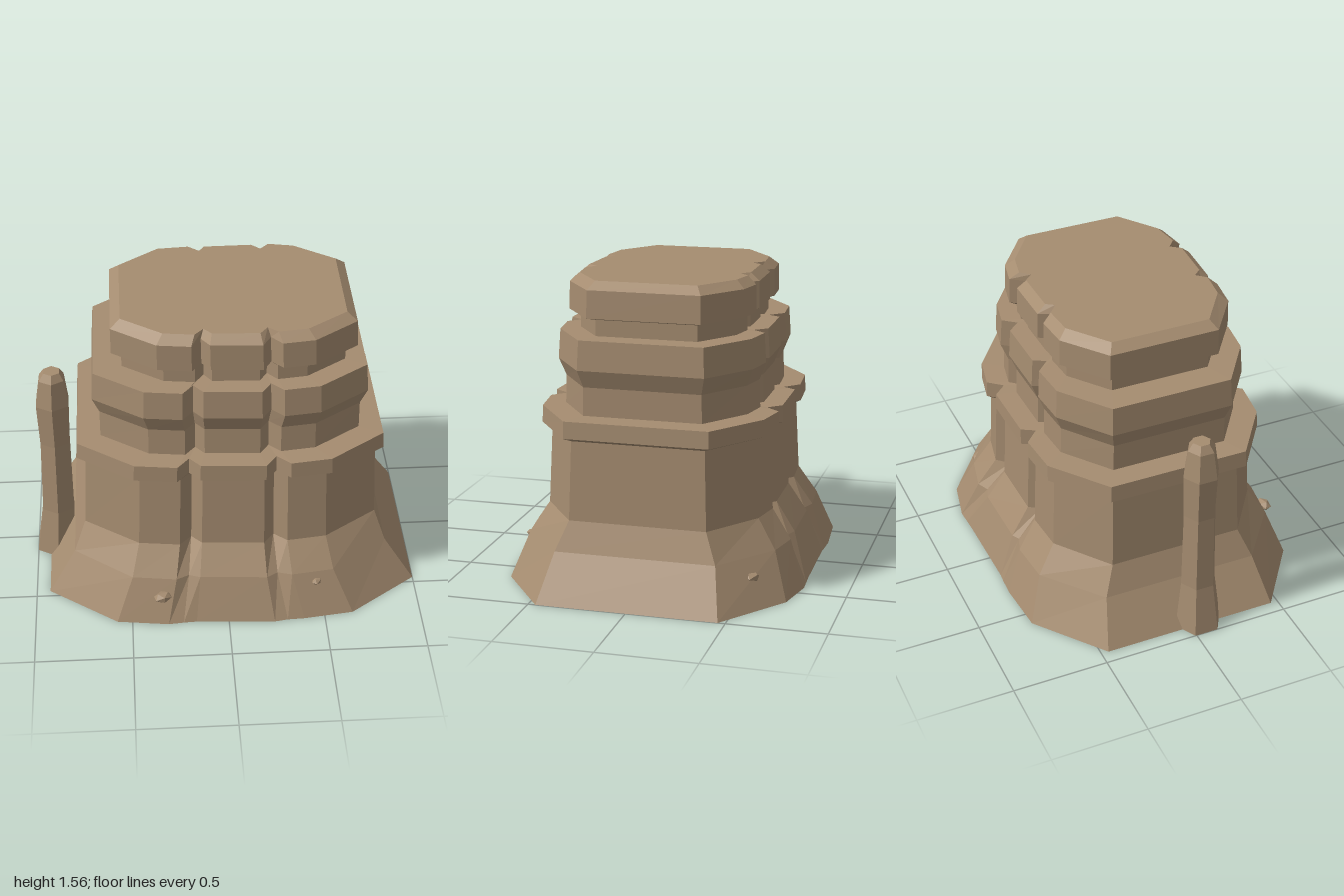
import * as THREE from 'three';

const sandstone = new THREE.MeshStandardMaterial({ color: 0xa58c70, side: THREE.DoubleSide });
sandstone.name = 'sandstone';

// Joins rings of [x, y, z] corners into a faceted skin, optionally closed on top.
function loft(name, rings, capped) {
  const pos = [];
  const tri = (...corners) => corners.forEach((p) => pos.push(...p));
  const n = rings[0].length;
  for (let k = 0; k + 1 < rings.length; k++) {
    for (let i = 0; i < n; i++) {
      const j = (i + 1) % n;
      const a = rings[k][i], b = rings[k][j], c = rings[k + 1][i], d = rings[k + 1][j];
      tri(b, a, c);
      tri(b, c, d);
    }
  }
  if (capped) {
    const top = rings[rings.length - 1];
    const mid = [0, 1, 2].map((q) => top.reduce((s, p) => s + p[q], 0) / n);
    top.forEach((p, i) => tri(mid, top[(i + 1) % n], p));
  }
  const geo = new THREE.BufferGeometry();
  geo.setAttribute('position', new THREE.Float32BufferAttribute(pos, 3));
  geo.computeVertexNormals();
  const mesh = new THREE.Mesh(geo, sandstone);
  mesh.name = name;
  return mesh;
}

// Plan of the mesa in unit size; a third value of 1 marks the bottom of a cleft.
const plan = [
  [1, 0.6], [0.635, 0.935], [0.37, 0.98], [0.28, 0.985, 1], [0.21, 1],
  [-0.21, 0.97], [-0.28, 0.975, 1], [-0.36, 0.985], [-0.635, 0.94], [-1, 0.6],
  [-1, -0.6], [-0.635, -0.96], [-0.35, -0.99], [-0.25, -0.985, 1], [-0.2, -0.98],
  [0.24, -0.99], [0.32, -0.995, 1], [0.4, -1], [0.63, -0.94], [1, -0.6],
];

// One level of the mesa: height, left and right limits, half depth, cleft depth.
function ring([y, x0, x1, hz, cleft]) {
  const cx = (x0 + x1) / 2, hx = (x1 - x0) / 2;
  return plan.map(([u, w, notch]) => [
    cx + u * hx, y, w * hz - (notch ? Math.sign(w) * cleft : 0),
  ]);
}

const tiers = {
  footSlope: [[0, -0.93, 1, 0.77, 0], [0.23, -0.79, 0.845, 0.685, 0.025], [0.38, -0.73, 0.79, 0.585, 0.06]],
  shaft: [[0.38, -0.73, 0.79, 0.585, 0.06], [0.785, -0.71, 0.775, 0.565, 0.06]],
  ledge: [[0.785, -0.71, 0.775, 0.565, 0.06], [0.805, -0.757, 0.815, 0.613, 0.07],
    [0.892, -0.75, 0.81, 0.61, 0.07], [0.895, -0.63, 0.69, 0.505, 0.06]],
  upperTier: [[0.895, -0.63, 0.69, 0.505, 0.06], [1.04, -0.63, 0.69, 0.5, 0.06],
    [1.13, -0.665, 0.725, 0.535, 0.065], [1.28, -0.655, 0.715, 0.525, 0.065], [1.283, -0.51, 0.61, 0.43, 0.06]],
  neck: [[1.283, -0.51, 0.61, 0.43, 0.06], [1.365, -0.51, 0.61, 0.43, 0.06]],
  capRock: [[1.365, -0.51, 0.61, 0.43, 0.06], [1.38, -0.56, 0.667, 0.48, 0.065],
    [1.52, -0.56, 0.66, 0.477, 0.065], [1.56, -0.51, 0.61, 0.43, 0.045]],
};

// Free-standing hexagonal spire: height, centre x, radius.
const spireLevels = [
  [0, -0.892, 0.125], [0.27, -0.88, 0.094], [0.7, -0.875, 0.087],
  [0.94, -0.877, 0.096], [1.09, -0.874, 0.073], [1.13, -0.872, 0.046],
];

// Loose stones: position, size, turn.
const stones = [
  [[-0.34, 0.15, 0.715], [0.05, 0.03, 0.035], 0.3],
  [[0.46, 0.18, 0.665], [0.036, 0.02, 0.025], 1.1],
  [[0.7, 0.14, -0.56], [0.055, 0.028, 0.04], -0.4],
];

export function createModel() {
  const model = new THREE.Group();
  model.name = 'mesa';

  for (const [name, levels] of Object.entries(tiers)) {
    model.add(loft(name, levels.map(ring), name === 'capRock'));
  }

  const spire = spireLevels.map(([y, cx, r]) => Array.from({ length: 6 }, (_, i) => {
    const a = Math.PI / 6 + (i * Math.PI) / 3;
    return [cx + r * Math.cos(a), y, 0.055 + r * Math.sin(a)];
  }));
  model.add(loft('spire', spire, true));

  const stoneGeo = new THREE.IcosahedronGeometry(1, 0);
  for (const [p, s, turn] of stones) {
    const stone = new THREE.Mesh(stoneGeo, sandstone);
    stone.name = 'looseStone';
    stone.position.set(...p);
    stone.scale.set(...s);
    stone.rotation.y = turn;
    model.add(stone);
  }
  return model;
}
